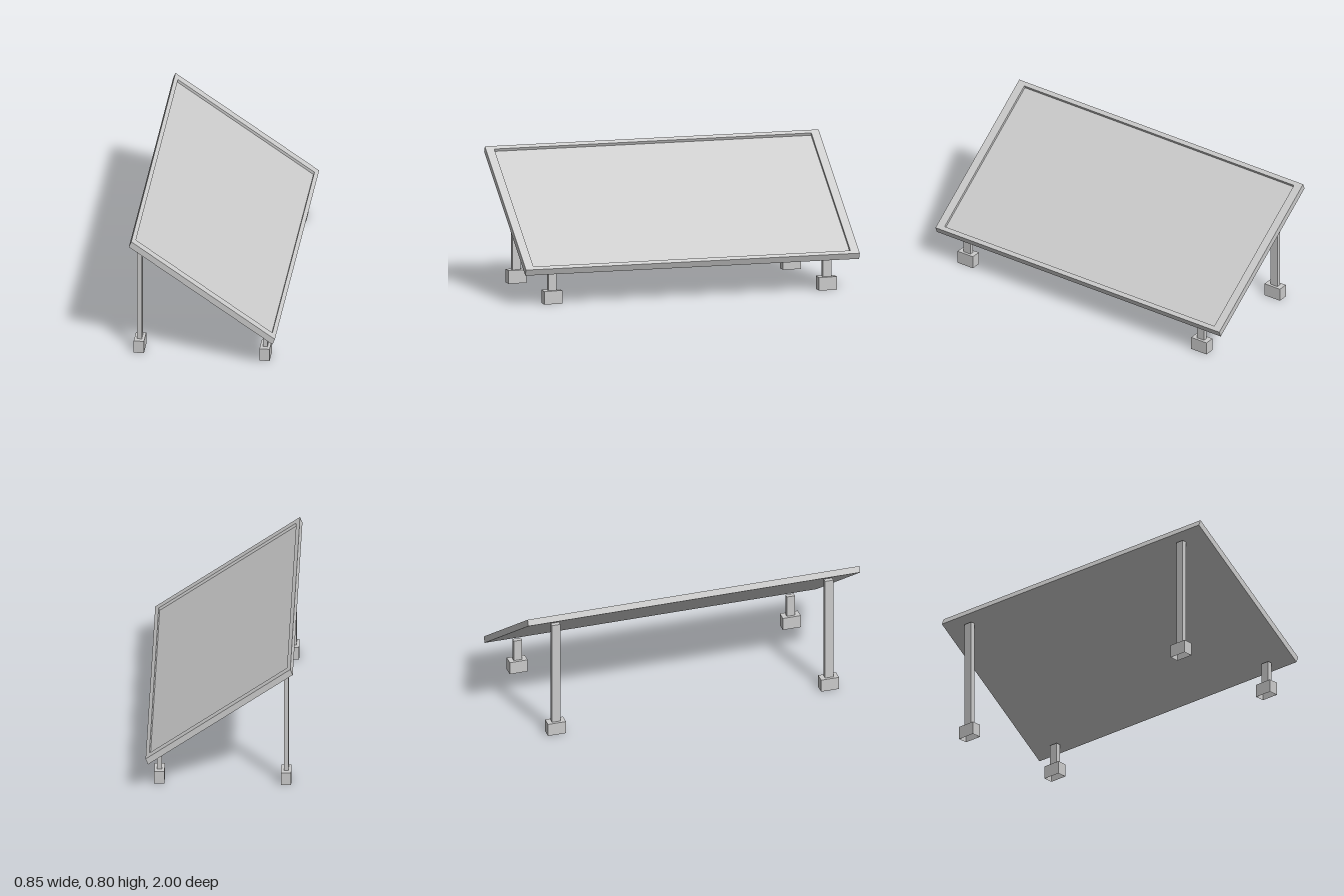
import * as THREE from 'three';

const material = new THREE.MeshStandardMaterial({ color: 0xcccccc, flatShading: true });
const openMaterial = material.clone();
openMaterial.side = THREE.DoubleSide;

// Flat panel space to the slope: x runs down the slope, y is the thickness (0..1), z the width.
const slope = new THREE.Matrix4()
  .makeBasis(
    new THREE.Vector3(0.832, -0.583, 0),
    new THREE.Vector3(0.014, 0.035, 0),
    new THREE.Vector3(0, 0, 1))
  .setPosition(-0.007, 0.4715, 0);

const INNER_X = 0.475, INNER_Z = 0.95, FLOOR = 0.57;

function rectangle(path, x, z) {
  path.moveTo(-x, -z);
  path.lineTo(x, -z);
  path.lineTo(x, z);
  path.lineTo(-x, z);
  path.closePath();
  return path;
}

function addMesh(parent, name, geometry, mat = material) {
  const mesh = new THREE.Mesh(geometry, mat);
  mesh.name = name;
  parent.add(mesh);
  return mesh;
}

// Box standing on its base, without a bottom face
function openBox(width, height, depth) {
  const geometry = new THREE.BoxGeometry(width, height, depth);
  const index = Array.from(geometry.index.array);
  index.splice(18, 6);
  geometry.setIndex(index);
  geometry.clearGroups();
  return geometry.translate(0, height / 2, 0);
}

function createPanel() {
  const panel = new THREE.Group();
  panel.name = 'slopedPanel';

  // Raised rim around the panel
  const rim = rectangle(new THREE.Shape(), 0.5, 1);
  rim.holes.push(rectangle(new THREE.Path(), INNER_X, INNER_Z));
  const frame = new THREE.ExtrudeGeometry(rim, { depth: 1, bevelEnabled: false });
  addMesh(panel, 'panelFrame', frame.rotateX(-Math.PI / 2).applyMatrix4(slope));

  // Recessed surface inside the rim
  const surface = new THREE.BoxGeometry(2 * INNER_X, FLOOR, 2 * INNER_Z);
  addMesh(panel, 'panelSurface', surface.translate(0, FLOOR / 2, 0).applyMatrix4(slope));
  return panel;
}

// Post on a block footing
function createLeg(name, x, z, top) {
  const leg = new THREE.Group();
  leg.name = name;
  const base = 0.077;
  addMesh(leg, 'footing', openBox(0.059, base, 0.108), openMaterial);
  addMesh(leg, 'post', openBox(0.027, top - base, 0.05), openMaterial).position.y = base;
  leg.position.set(x, 0, z);
  return leg;
}

export function createModel() {
  const model = new THREE.Group();
  model.name = 'tiltedPanelStand';
  model.add(createPanel());
  for (const [end, z] of [['front', 0.823], ['back', -0.823]]) {
    model.add(createLeg(end + 'TallLeg', -0.381, z, 0.723));
    model.add(createLeg(end + 'ShortLeg', 0.347, z, 0.206));
  }
  return model;
}
